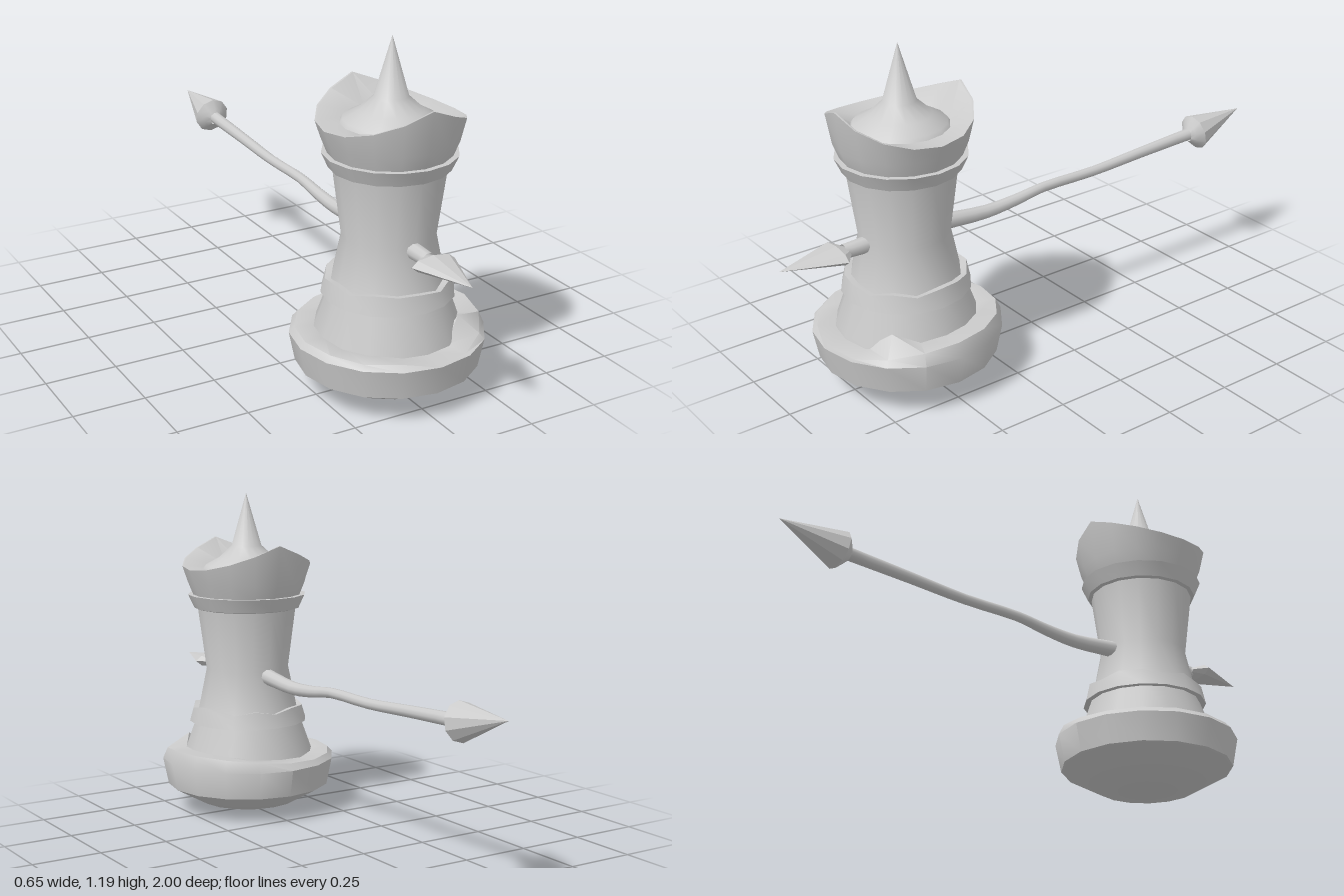
import * as THREE from 'three';
import { toCreasedNormals } from 'three/addons/utils/BufferGeometryUtils.js';

const SIDES = 16;
const material = new THREE.MeshStandardMaterial({ color: 0xcccccc, side: THREE.DoubleSide });

// Lathe from [radius, height] points; lift(row, segment) raises single vertices
function turned(name, profile, { sides = SIDES, crease = 0.6, lift } = {}) {
  const geo = new THREE.LatheGeometry(profile.map(([r, y]) => new THREE.Vector2(r, y)), sides);
  if (lift) {
    const pos = geo.attributes.position;
    for (let i = 0; i < pos.count; i++) {
      const row = i % profile.length;
      const seg = Math.floor(i / profile.length) % sides;
      pos.setY(i, pos.getY(i) + lift(row, seg));
    }
  }
  const mesh = new THREE.Mesh(toCreasedNormals(geo, crease), material);
  mesh.name = name;
  return mesh;
}

// Point a turned part's +y axis along a direction
function aim(mesh, x, y, z) {
  mesh.quaternion.setFromUnitVectors(new THREE.Vector3(0, 1, 0), new THREE.Vector3(x, y, z).normalize());
  return mesh;
}

// Tapered rod with cross-sections [y, z, radius] running toward -z
function rod(name, stations, sides = 10) {
  const curve = new THREE.CatmullRomCurve3(stations.map(([y, z]) => new THREE.Vector3(0, y, z)));
  const steps = (stations.length - 1) * 3;
  const vertices = [];
  const index = [];
  for (let i = 0; i <= steps; i++) {
    const t = (i / steps) * (stations.length - 1);
    const k = Math.min(Math.floor(t), stations.length - 2);
    const r = THREE.MathUtils.lerp(stations[k][2], stations[k + 1][2], t - k);
    const c = curve.getPoint(i / steps);
    for (let j = 0; j < sides; j++) {
      const a = (j / sides) * Math.PI * 2;
      vertices.push(r * Math.cos(a), c.y + r * Math.sin(a), c.z);
      if (i < steps) {
        const p = i * sides + j;
        const q = i * sides + ((j + 1) % sides);
        index.push(p, p + sides, q, q, p + sides, q + sides);
      }
    }
  }
  const geo = new THREE.BufferGeometry();
  geo.setAttribute('position', new THREE.Float32BufferAttribute(vertices, 3));
  // wind the faces outward
  for (let i = 0; i < index.length; i += 3) [index[i + 1], index[i + 2]] = [index[i + 2], index[i + 1]];
  geo.setIndex(index);
  geo.computeVertexNormals();
  const mesh = new THREE.Mesh(geo, material);
  mesh.name = name;
  return mesh;
}

export function createModel() {
  const model = new THREE.Group();
  model.name = 'spearedTower';
  const tower = new THREE.Group();
  tower.name = 'tower';
  tower.position.z = 0.53;
  model.add(tower);

  // Bowl-shaped foot with an uneven, broken rim
  const rim = [0, 0, 0.02, 0.04, 0.05, 0.05, 0.045, 0.035, 0.025, 0.02, 0.02, 0.02, 0.02, 0.02, 0.015, 0.02];
  const inner = [0, 0, 0.065, 0.03, 0.035, 0.035, 0.03, 0.02, 0.015, 0.01, 0.015, 0.01, 0.01, 0.005, 0.005, 0];
  tower.add(turned('foot',
    [[0, 0.003], [0.18, 0.03], [0.305, 0.1], [0.325, 0.2], [0.307, 0.2], [0.235, 0.21], [0.2, 0.2]],
    { crease: 0.75, lift: (row, s) => (row === 4 ? rim[s] : row === 5 ? inner[s] : 0) }));

  // Waisted body
  tower.add(turned('body',
    [[0.25, 0.19], [0.243, 0.22], [0.19, 0.37], [0.155, 0.54], [0.184, 0.76], [0.187, 0.8]], { crease: 0.9 }));

  // Lower band with a wavy top edge
  const wave = [0, -0.012, 0.003, -0.01, 0.004];
  tower.add(turned('lowerBand',
    [[0.19, 0.34], [0.221, 0.34], [0.207, 0.4], [0.17, 0.395]],
    { lift: (row, s) => (row > 1 ? wave[s % 5] : 0) }));

  // Flared collar under the crown
  tower.add(turned('collar', [[0.18, 0.765], [0.198, 0.77], [0.221, 0.82], [0.2, 0.82]]));

  // Crown rising to a peak at front and back
  const peak = (s) => 0.095 * (1 - Math.abs(Math.sin((s / SIDES) * Math.PI * 2)));
  tower.add(turned('crown',
    [[0.2, 0.815], [0.222, 0.87], [0.241, 0.92], [0.234, 0.92], [0.16, 0.915]],
    { crease: 0.8, lift: (row, s) => (row === 2 || row === 3 ? peak(s) : 0) }));

  // Spire with a flared bottom filling the crown
  tower.add(turned('spire',
    [[0.164, 0.915], [0.155, 0.928], [0.105, 0.955], [0.056, 1.0], [0, 1.195]], { crease: 0.9 }));

  // Long bent shaft behind the tower
  model.add(rod('shaft', [
    [0.527, 0.45, 0.03], [0.522, 0.37, 0.029], [0.508, 0.2, 0.024], [0.516, 0.07, 0.021],
    [0.531, -0.05, 0.018], [0.531, -0.28, 0.018], [0.544, -0.5, 0.02], [0.558, -0.76, 0.023]]));

  // Point at the far end of the shaft
  const tail = aim(turned('rearPoint',
    [[0.022, -0.035], [0.04, -0.022], [0.067, 0], [0, 0.229]], { sides: 10 }), 0, 0.042, -0.225);
  tail.position.set(0, 0.558, -0.775);
  model.add(tail);

  // Short stub and flat blade at the front
  model.add(rod('frontStub', [[0.53, 0.765, 0.025], [0.53, 0.7, 0.028], [0.53, 0.64, 0.028]]));
  const blade = aim(turned('frontBlade',
    [[0, -0.045], [0.035, -0.035], [0.08, 0], [0, 0.21]], { sides: 8, crease: 0.2 }), 0, 0, 1);
  blade.scale.z = 0.33;
  blade.position.set(0, 0.531, 0.79);
  model.add(blade);

  return model;
}
